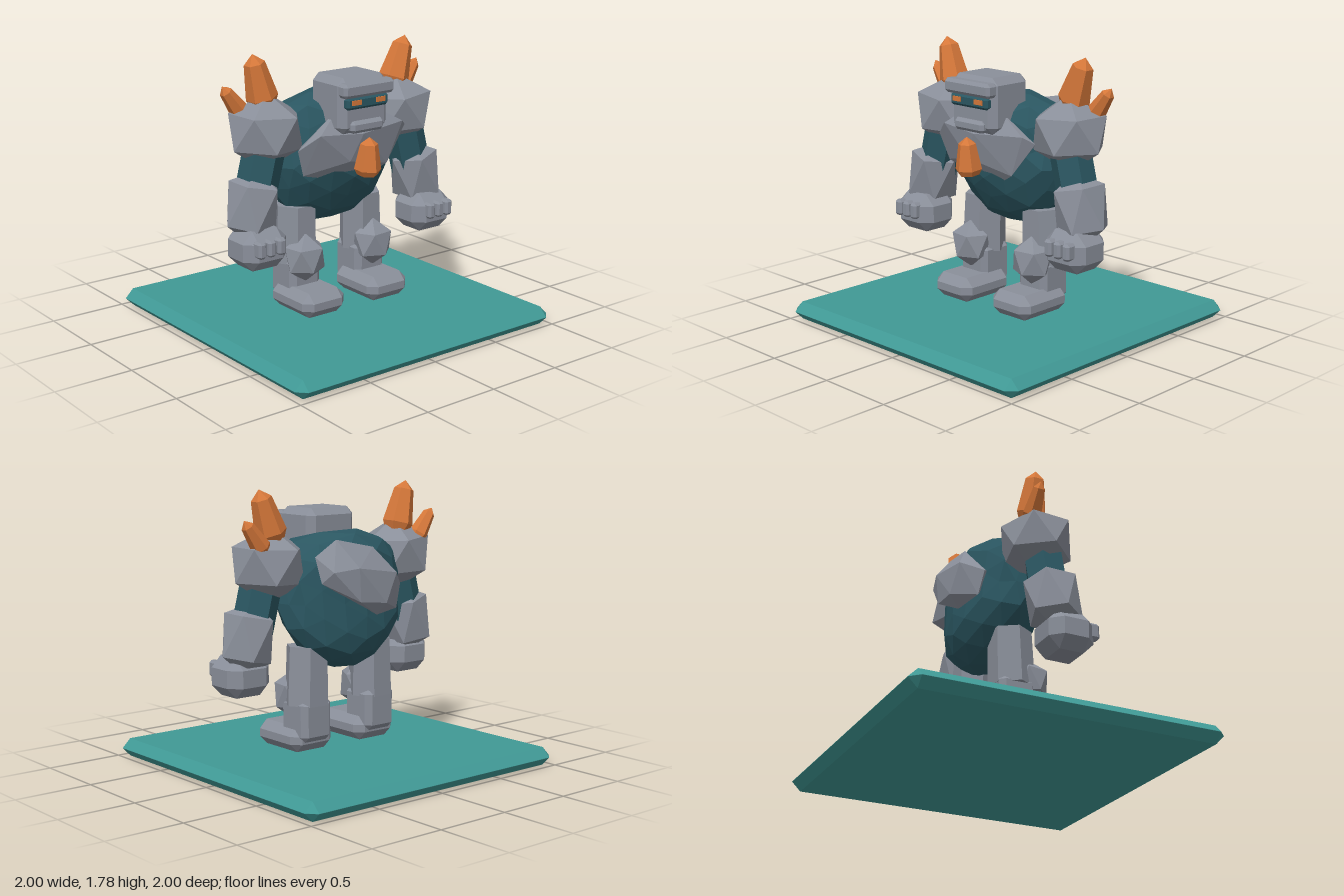
import * as THREE from 'three';
import { ConvexGeometry } from 'three/addons/geometries/ConvexGeometry.js';

const mat = (name, color) => Object.assign(new THREE.MeshStandardMaterial({ color }), { name });
const V = (x, y, z) => new THREE.Vector3(x, y, z);

// faceted normals without shared vertices
function faceted(geo) {
  const g = geo.index ? geo.toNonIndexed() : geo;
  g.computeVertexNormals();
  return g;
}

// box with every edge and corner cut by b
function chamferBox(w, h, d, b) {
  const pts = [];
  for (const i of [-0.5, 0.5]) for (const j of [-0.5, 0.5]) for (const k of [-0.5, 0.5]) {
    const x = i * w, y = j * h, z = k * d, bx = 2 * i * b, by = 2 * j * b, bz = 2 * k * b;
    pts.push(V(x, y - by, z - bz), V(x - bx, y, z - bz), V(x - bx, y - by, z));
  }
  return new ConvexGeometry(pts);
}

// boulder with a top point, two rings of five and a bottom point
function boulder(rx, ry, rz, yaw = 0, ring = 0.447) {
  const pts = [V(0, ry, 0), V(0, -ry, 0)];
  for (let i = 0; i < 10; i++) {
    const a = yaw + i * Math.PI / 5;
    pts.push(V(Math.sin(a) * rx * 0.894, (i % 2 ? 1 : -1) * ring * ry, Math.cos(a) * rz * 0.894));
  }
  return new ConvexGeometry(pts);
}

// six-sided crystal standing on the origin
function crystal(r, h) {
  const profile = [[0, 0], [0.75 * r, 0], [r, 0.15 * h], [0.65 * r, 0.82 * h], [0, h]];
  return faceted(new THREE.LatheGeometry(profile.map(p => new THREE.Vector2(...p)), 6));
}

export function createModel() {
  const root = new THREE.Group();
  root.name = 'stoneGolem';
  const stone = mat('greyStone', 0x8a8f9a);
  const core = mat('darkTealCore', 0x2b5762);
  const amber = mat('orangeCrystal', 0xd6783a);
  const ground = mat('tealBase', 0x40999500 >>> 8);

  function add(name, geo, material, x, y, z, rotZ = 0) {
    const m = new THREE.Mesh(geo, material);
    m.name = name;
    m.position.set(x, y, z);
    m.rotation.z = rotZ;
    root.add(m);
    return m;
  }
  function addCrystal(name, from, to, r) {
    const dir = to.clone().sub(from);
    const m = add(name, crystal(r, dir.length()), amber, from.x, from.y, from.z);
    m.quaternion.setFromUnitVectors(V(0, 1, 0), dir.normalize());
  }

  // display base
  add('base', chamferBox(2, 0.116, 2, 0.057), ground, 0, 0.058, 0);

  // rounded torso, broad and flattened towards the shoulders
  const torso = new THREE.IcosahedronGeometry(1, 2);
  const p = torso.attributes.position;
  for (let i = 0; i < p.count; i++) {
    const x = p.getX(i), y = p.getY(i), z = p.getZ(i);
    const broad = 1 + 0.75 * Math.max(0, y) ** 3;
    const bump = 1 + 0.025 * Math.sin(7 * x + 11 * y + 5 * z);
    p.setXYZ(i, x * 0.45 * broad * bump, y * 0.435 * bump,
      z * 0.28 * broad * bump + 0.07 * Math.min(0, y));
  }
  add('torso', faceted(torso), core, 0, 1.065, -0.04);

  // chest and back armour slabs
  add('chestPlate', new ConvexGeometry([
    V(-0.3, 1.29, 0.27), V(0.36, 1.29, 0.25), V(0.25, 1.03, 0.23), V(-0.36, 1.03, 0.17),
    V(-0.08, 0.96, 0.18), V(0.1, 0.95, 0.18), V(-0.12, 1.42, 0.2), V(0.12, 1.42, 0.2),
    V(-0.42, 1.2, 0.2), V(0.42, 1.25, 0.2), V(0, 1.27, 0.31), V(-0.08, 1.1, 0.28),
    V(-0.3, 1.2, 0.08), V(0.3, 1.2, 0.08), V(0, 1.05, 0.08)]), stone, 0, 0, 0);
  add('backPlate', new ConvexGeometry([
    V(0.2, 1.46, -0.26), V(0.34, 1.36, -0.23), V(0.32, 1.2, -0.27), V(0.12, 1.29, -0.39),
    V(0.1, 1.08, -0.38), V(-0.1, 1.06, -0.39), V(-0.2, 1.24, -0.37), V(-0.33, 1.15, -0.26),
    V(-0.28, 1.0, -0.28), V(-0.08, 0.98, -0.32), V(-0.08, 1.4, -0.28), V(0.28, 1.27, -0.34),
    V(0.22, 1.25, -0.12), V(-0.22, 1.2, -0.12)]), stone, 0, 0, 0);
  addCrystal('chestCrystal', V(0, 1.02, 0.345), V(0, 1.26, 0.365), 0.085);

  // head
  add('head', chamferBox(0.38, 0.35, 0.33, 0.045), stone, 0, 1.455, 0.165);
  add('brow', chamferBox(0.39, 0.09, 0.09, 0.02), stone, 0, 1.56, 0.33);
  add('visor', chamferBox(0.32, 0.075, 0.06, 0.015), core, 0, 1.477, 0.323);
  add('jaw', chamferBox(0.25, 0.075, 0.08, 0.02), stone, 0, 1.328, 0.32);

  for (const s of [-1, 1]) {
    const side = s > 0 ? 'left' : 'right';
    add(side + 'Eye', new THREE.BoxGeometry(0.068, 0.03, 0.008), amber, s * 0.093, 1.483, 0.356);

    // arm
    add(side + 'Shoulder', boulder(0.265, 0.235, 0.24, s * 0.25), stone, s * 0.515, 1.305, 0, s * 0.05);
    add(side + 'UpperArm', faceted(new THREE.CylinderGeometry(0.13, 0.13, 0.4, 6)), core,
      s * 0.58, 1.08, 0.03, s * 0.25);
    add(side + 'Forearm', boulder(0.18, 0.22, 0.19, s * 0.3, 0.6), stone, s * 0.65, 0.865, 0.04, s * 0.2);
    add(side + 'Hand', chamferBox(0.316, 0.25, 0.3, 0.07), stone, s * 0.662, 0.63, 0.103);
    for (const f of [-1, 0, 1])
      add(side + 'Finger', chamferBox(0.058, 0.105, 0.08, 0.015), stone, s * 0.67 + f * 0.072, 0.657, 0.25);

    // leg
    add(side + 'Thigh', faceted(new THREE.CylinderGeometry(0.135, 0.145, 0.37, 6)), stone,
      s * 0.262, 0.605, -0.05, s * 0.03).rotation.y = Math.PI / 6;
    add(side + 'Knee', boulder(0.145, 0.16, 0.13, s * 0.15), stone, s * 0.272, 0.465, 0.065);
    add(side + 'Shin', chamferBox(0.235, 0.27, 0.245, 0.035), stone, s * 0.262, 0.33, -0.048);
    add(side + 'Foot', chamferBox(0.325, 0.16, 0.42, 0.055), stone, s * 0.257, 0.208, 0.075);

    // shoulder crystals
    const tip = s > 0 ? V(0.61, 1.77, -0.03) : V(-0.585, 1.78, -0.03);
    addCrystal(side + 'LargeCrystal', V(s * 0.505, 1.46, -0.03), tip, 0.1);
    addCrystal(side + 'SmallCrystal', V(s * 0.62, 1.4, -0.09), V(s * 0.765, 1.595, -0.09), 0.062);
  }
  return root;
}
